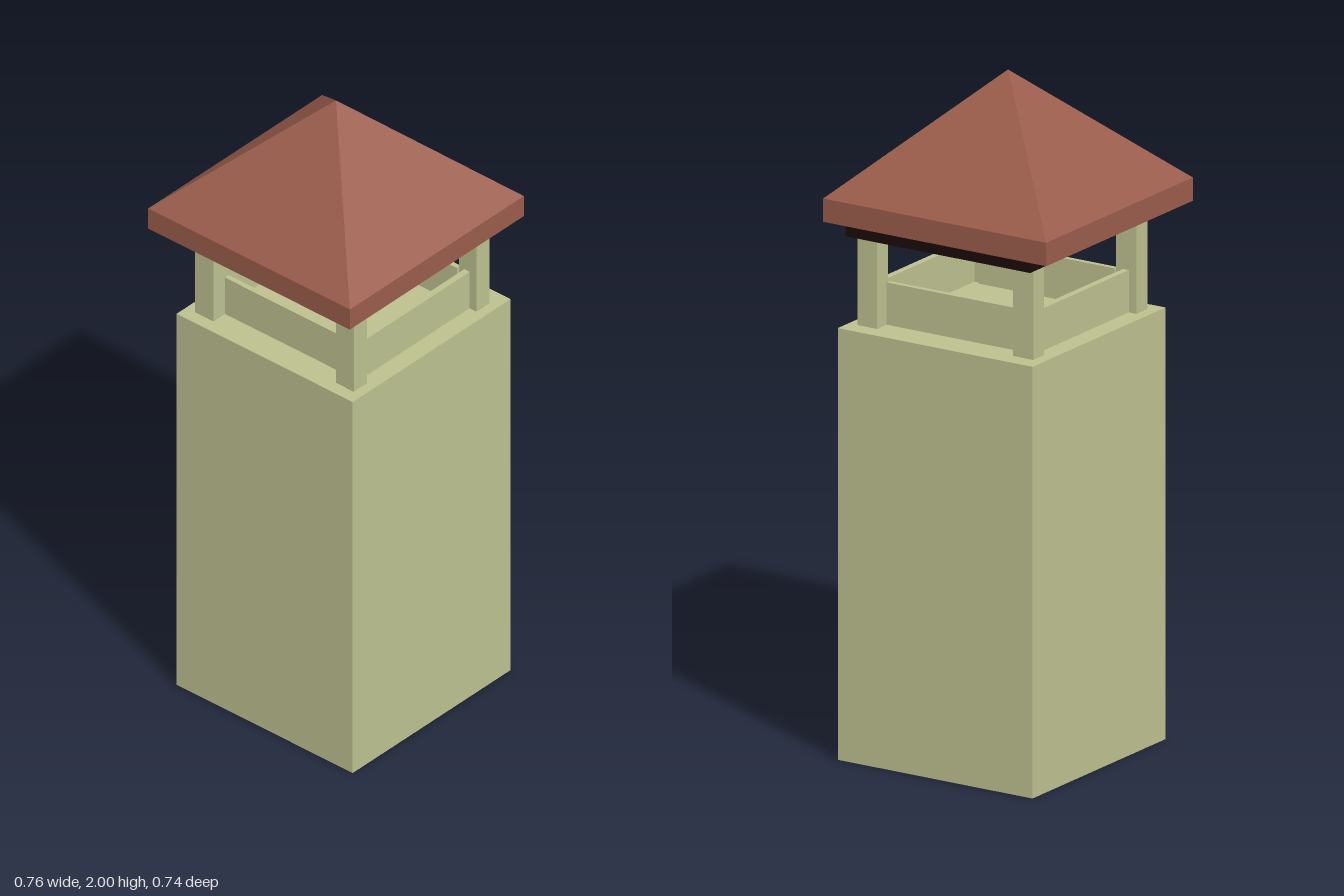
import * as THREE from 'three';

export function createModel() {
  const model = new THREE.Group();
  const makeMaterial = (name, color, flatShading = false) => {
    const m = new THREE.MeshStandardMaterial({ color, flatShading });
    m.name = name;
    return m;
  };
  const plaster = makeMaterial('pale green plaster', 0xbdc18f);
  const terracotta = makeMaterial('terracotta', 0x9a5c4b, true);
  const dark = makeMaterial('dark soffit', 0x1c0808);

  // Box given by its lower and upper limits on each axis
  const box = (name, material, [x0, x1], [y0, y1], [z0, z1]) => {
    const mesh = new THREE.Mesh(new THREE.BoxGeometry(x1 - x0, y1 - y0, z1 - z0), material);
    mesh.position.set((x0 + x1) / 2, (y0 + y1) / 2, (z0 + z1) / 2);
    mesh.name = name;
    model.add(mesh);
  };

  // Main shaft, set slightly back under the roof
  box('shaft', plaster, [-0.33, 0.33], [0, 1.275], [-0.37, 0.305]);

  // Four corner posts
  for (const x of [[-0.296, -0.227], [0.233, 0.299]])
    for (const z of [[-0.315, -0.26], [0.209, 0.265]])
      box('cornerPost', plaster, x, [1.275, 1.546], z);

  // Low walls between the posts
  const wall = [1.275, 1.4];
  box('frontWall', plaster, [-0.227, 0.233], wall, [0.2, 0.216]);
  box('backWall', plaster, [-0.227, 0.233], wall, [-0.267, -0.251]);
  box('rightWall', plaster, [-0.27, -0.25], wall, [-0.26, 0.209]);
  box('leftWall', plaster, [0.253, 0.273], wall, [-0.26, 0.209]);

  // Dark slab under the eaves
  box('soffit', dark, [-0.312, 0.313], [1.545, 1.582], [-0.355, 0.289]);

  // Roof slab and four-sided pyramid
  box('roofEdge', terracotta, [-0.378, 0.378], [1.581, 1.65], [-0.372, 0.372]);
  const pyramid = new THREE.ConeGeometry(Math.SQRT2, 0.35, 4, 1, true);
  pyramid.rotateY(Math.PI / 4);
  pyramid.scale(0.378, 1, 0.372);
  const roof = new THREE.Mesh(pyramid, terracotta);
  roof.position.y = 1.825;
  roof.name = 'roof';
  model.add(roof);

  return model;
}
